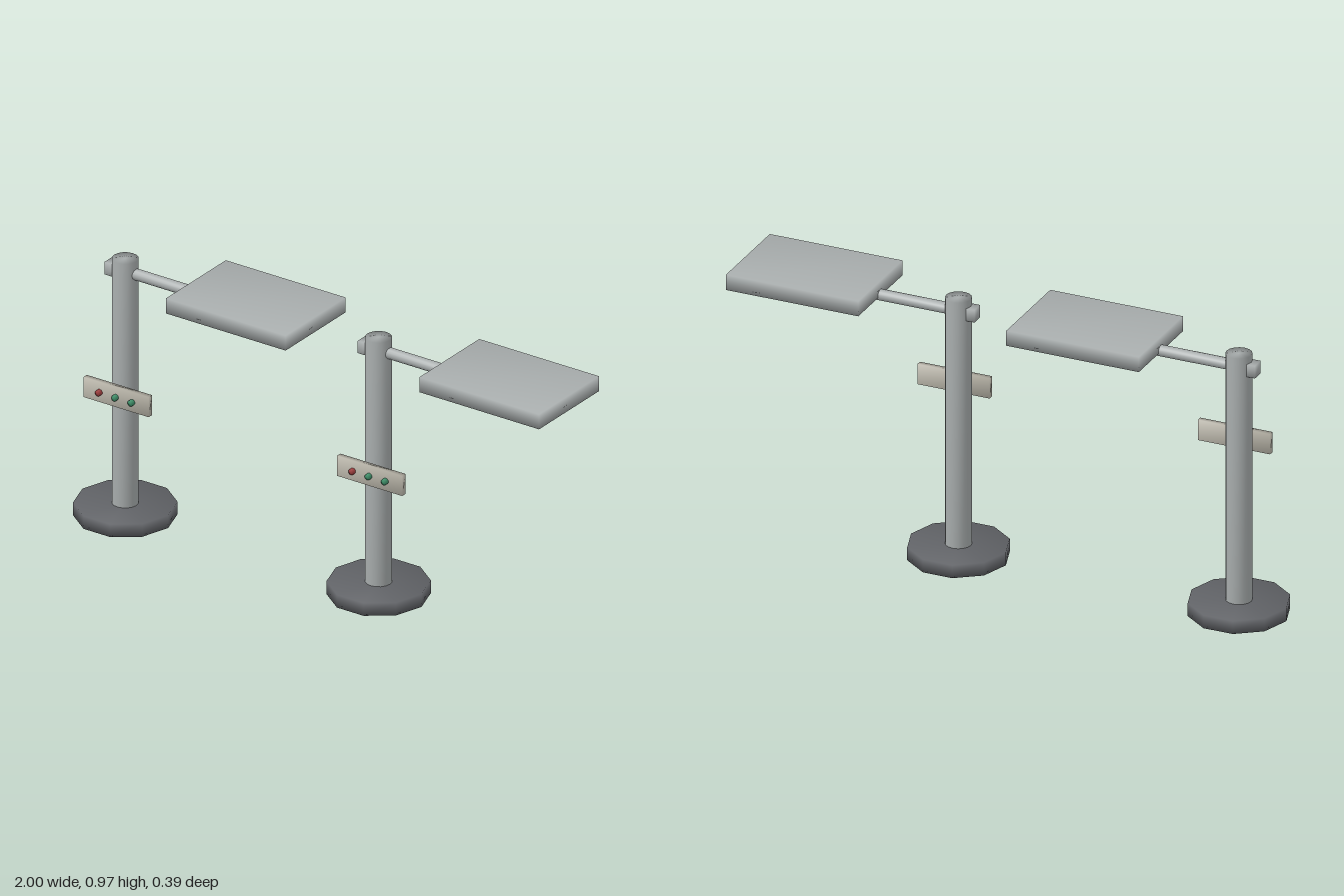
import * as THREE from 'three';
import { mergeVertices } from 'three/addons/utils/BufferGeometryUtils.js';

const mat = (color) => new THREE.MeshStandardMaterial({ color });

// Weld corners so the normals run smoothly over all edges.
function soften(geometry) {
  geometry.deleteAttribute('normal');
  geometry.deleteAttribute('uv');
  const welded = mergeVertices(geometry, 1e-4);
  welded.computeVertexNormals();
  return welded;
}

function addPart(group, name, geometry, material, x, y, z) {
  const mesh = new THREE.Mesh(soften(geometry), material);
  mesh.name = name;
  mesh.position.set(x, y, z);
  group.add(mesh);
  return mesh;
}

// One stand; its local origin is on the ground under the post.
function createStand(materials) {
  const { metal, dark, plate, red, green } = materials;
  const stand = new THREE.Group();

  // Ten-sided foot and upright post
  addPart(stand, 'base', new THREE.CylinderGeometry(0.176, 0.176, 0.048, 10).rotateY(Math.PI / 2), dark, 0, 0.024, 0);
  addPart(stand, 'post', new THREE.CylinderGeometry(0.046, 0.046, 0.92, 16), metal, 0, 0.505, 0);

  // Arm through the top of the post, with a square block behind it
  addPart(stand, 'arm', new THREE.CylinderGeometry(0.02, 0.02, 0.56, 12).rotateZ(Math.PI / 2), metal, 0.255, 0.917, 0);
  addPart(stand, 'armBlock', new THREE.BoxGeometry(0.07, 0.046, 0.046), metal, -0.035, 0.917, 0);

  // Flat rectangular head
  addPart(stand, 'headPanel', new THREE.BoxGeometry(0.492, 0.056, 0.353), metal, 0.536, 0.94, 0);

  // Control plate floating in front of the post, with three buttons
  addPart(stand, 'controlPlate', new THREE.BoxGeometry(0.268, 0.075, 0.02), plate, 0.102, 0.553, 0.19);
  [red, green, green].forEach((material, i) => {
    addPart(stand, 'button', new THREE.CylinderGeometry(0.011, 0.011, 0.018, 10).rotateX(Math.PI / 2),
      material, 0.035 + i * 0.067, 0.553, 0.204);
  });
  return stand;
}

export function createModel() {
  const model = new THREE.Group();
  const materials = {
    metal: mat(0xa8adad),
    dark: mat(0x606266),
    plate: mat(0xb8b4a8),
    red: mat(0xa04040),
    green: mat(0x40906a),
  };
  // Two identical stands side by side
  [['rightStand', -0.824], ['leftStand', 0.217]].forEach(([name, x]) => {
    const stand = createStand(materials);
    stand.name = name;
    stand.position.set(x, 0, -0.018);
    model.add(stand);
  });
  return model;
}
